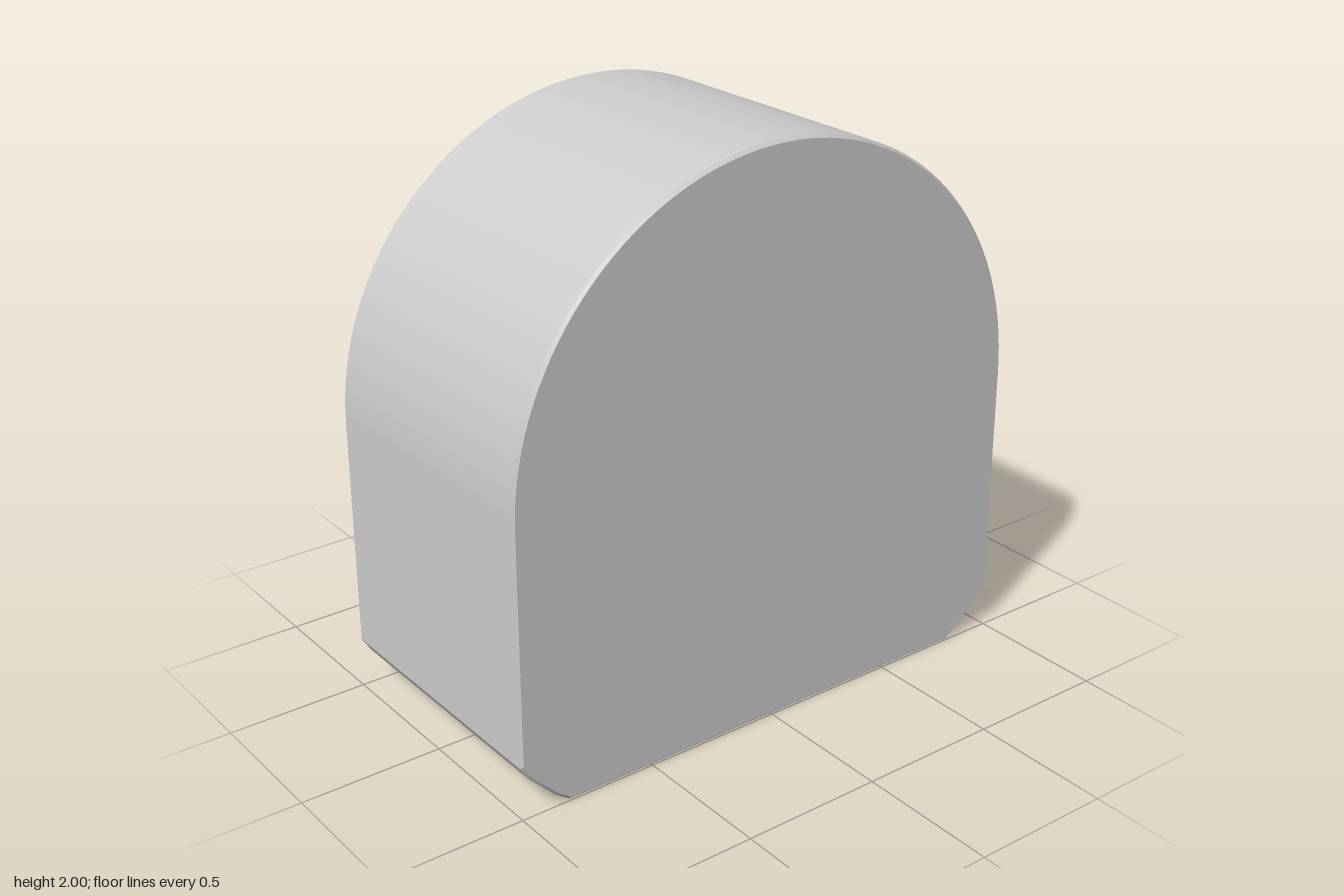
import * as THREE from 'three';
import { toCreasedNormals } from 'three/addons/utils/BufferGeometryUtils.js';

export function createModel() {
  const group = new THREE.Group();
  group.name = 'archedBlock';

  const depth = 1, bevel = 0.01;

  // Faceted bottom corner, listed from the underside up to the side wall
  const corner = [[0.82, 0], [0.87, 0.035], [0.965, 0.13], [1, 0.185]];

  // Outline: flat base, chipped corners, straight sides, semicircular top
  const outline = new THREE.Shape();
  outline.moveTo(-corner[0][0], 0);
  for (const [x, y] of corner) outline.lineTo(x, y);
  outline.lineTo(1, 1);
  outline.absarc(0, 1, 1, 0, Math.PI, false);
  for (const [x, y] of [...corner].reverse().slice(0, -1)) outline.lineTo(-x, y);
  outline.closePath();

  // Extruded body with a thin chamfer around both faces
  const geometry = new THREE.ExtrudeGeometry(outline, {
    depth: depth - 2 * bevel,
    curveSegments: 32,
    bevelEnabled: true,
    bevelThickness: bevel,
    bevelSize: bevel,
    bevelOffset: -bevel,
    bevelSegments: 1,
  });
  geometry.translate(0, 0, bevel - depth / 2);

  const body = new THREE.Mesh(
    toCreasedNormals(geometry, THREE.MathUtils.degToRad(10)),
    new THREE.MeshStandardMaterial({ color: 0xcccccc })
  );
  body.name = 'body';
  group.add(body);
  return group;
}
